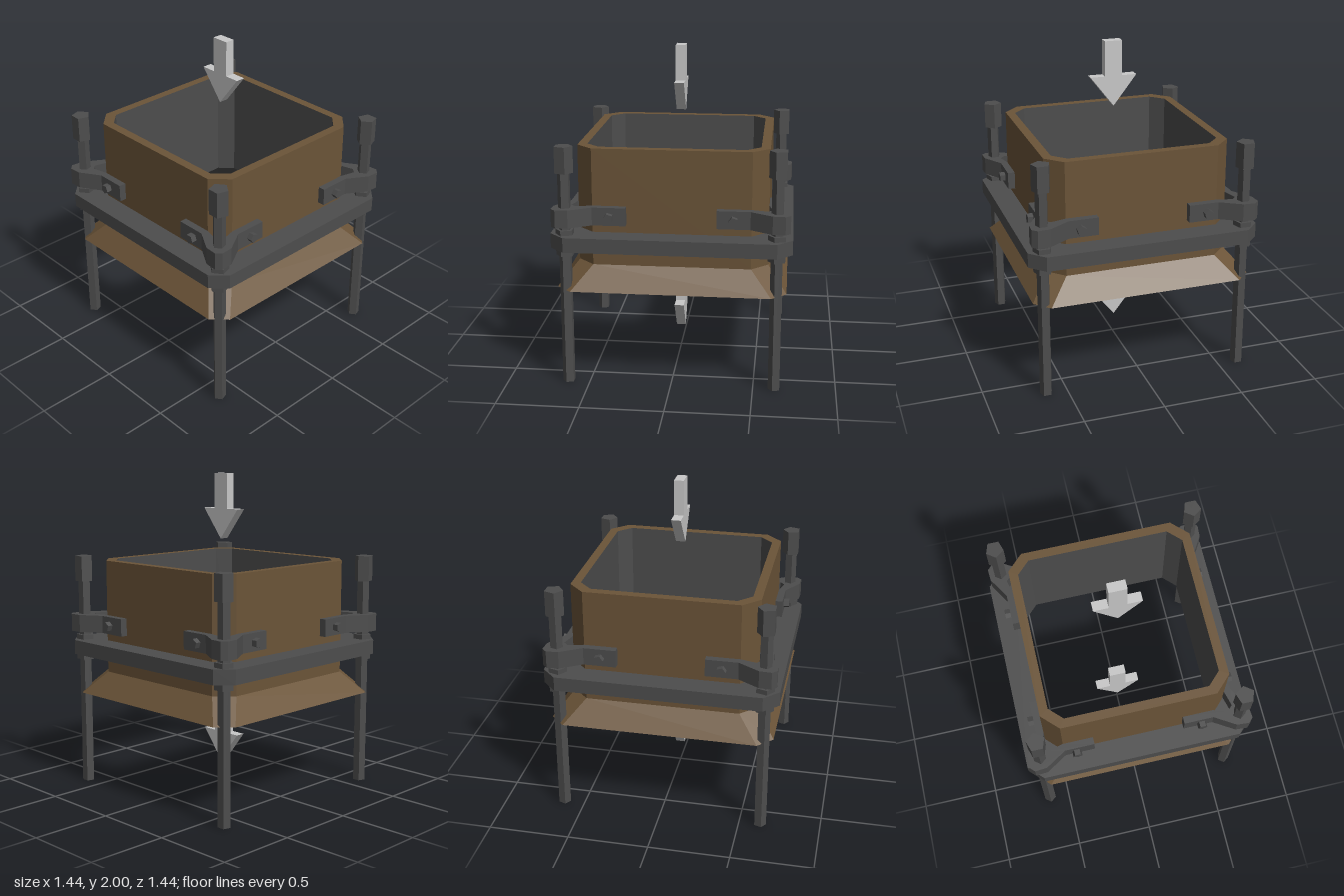
import * as THREE from 'three';

const mat = (name, color) => {
  const m = new THREE.MeshStandardMaterial({ color, flatShading: true });
  m.name = name;
  return m;
};

// Chamfered square: half width h, chamfer starting at c
const octagon = (h, c, y) =>
  [[h, -c], [h, c], [c, h], [-c, h], [-h, c], [-h, -c], [-c, -h], [c, -h]].map(([x, z]) => [x, y, z]);

// Skin joining a series of octagonal cross-sections
function skin(sections) {
  const rings = sections.map((s) => octagon(...s));
  const pos = [];
  for (let i = 0; i < rings.length - 1; i++) {
    for (let j = 0; j < 8; j++) {
      const k = (j + 1) % 8;
      const a = rings[i][j], b = rings[i + 1][j], c = rings[i][k], d = rings[i + 1][k];
      pos.push(...a, ...c, ...b, ...c, ...d, ...b);
    }
  }
  const g = new THREE.BufferGeometry();
  g.setAttribute('position', new THREE.Float32BufferAttribute(pos, 3));
  g.computeVertexNormals();
  return g;
}

export function createModel() {
  const group = new THREE.Group();
  const brown = mat('brown', 0x6b5438);
  const dark = mat('dark grey', 0x4d4d4d);
  const light = mat('light grey', 0xc8c8c8);

  const add = (name, geo, material, x = 0, y = 0, z = 0) => {
    const m = new THREE.Mesh(geo, material);
    m.name = name;
    m.position.set(x, y, z);
    group.add(m);
    return m;
  };

  // Square sleeve with a flared skirt, and its grey lining
  add('sleeve', skin([[0.52, 0.44, 1.455], [0.575, 0.475, 1.455], [0.575, 0.475, 0.74],
    [0.69, 0.6, 0.6], [0.64, 0.555, 0.6]]), brown);
  add('lining', skin([[0.64, 0.555, 0.6], [0.52, 0.44, 0.74], [0.52, 0.44, 1.455]]), dark);

  // Clamping frame around the sleeve
  add('frame', skin([[0.57, 0.47, 0.945], [0.72, 0.63, 0.945], [0.72, 0.63, 0.855],
    [0.57, 0.47, 0.855], [0.57, 0.47, 0.945]]), dark);

  // Five-sided rod, nut or cap standing between two heights
  const prism = (name, r, y0, y1, x, z, turn) => {
    const m = add(name, new THREE.CylinderGeometry(r, r, y1 - y0, 5), dark, x, (y0 + y1) / 2, z);
    m.rotation.y = turn;
  };

  // Bracket outline for the +x +z corner
  const outline = [[0.285, 0.575], [0.475, 0.575], [0.57, 0.6], [0.6, 0.57], [0.575, 0.475],
    [0.575, 0.27], [0.62, 0.27], [0.62, 0.47], [0.7, 0.6], [0.705, 0.675], [0.675, 0.705],
    [0.6, 0.7], [0.47, 0.62], [0.285, 0.62]];

  for (const sx of [-1, 1]) {
    for (const sz of [-1, 1]) {
      const x = 0.63 * sx, z = 0.63 * sz;
      const inward = sz > 0 ? Math.PI : 0;
      prism('rod', 0.039, 0, 1.33, x, z, 0);
      prism('rodCap', 0.058, 1.32, 1.48, x, z, inward);
      prism('upperNut', 0.058, 0.945, 0.975, x, z, 0);
      prism('lowerNut', 0.058, 0.815, 0.855, x, z, 0);

      // Corner bracket bolted to two walls
      const shape = new THREE.Shape(outline.map(([px, pz]) => new THREE.Vector2(px * sx, pz * sz)));
      const bracket = new THREE.ExtrudeGeometry(shape, { depth: 0.11, bevelEnabled: false });
      add('bracket', bracket.rotateX(Math.PI / 2), dark, 0, 1.108, 0);

      const bolt = () => new THREE.CylinderGeometry(0.03, 0.03, 0.05, 5);
      add('bolt', bolt().rotateX(sz * Math.PI / 2), dark, 0.398 * sx, 1.05, 0.63 * sz);
      add('bolt', bolt().rotateZ(-sx * Math.PI / 2), dark, 0.63 * sx, 1.05, 0.37 * sz);
    }
  }

  // Downward arrows above and below the sleeve
  const arrow = new THREE.Shape([[-0.055, 0.41], [-0.055, 0.19], [-0.148, 0.19], [0, 0],
    [0.148, 0.19], [0.055, 0.19], [0.055, 0.41]].map((p) => new THREE.Vector2(...p)));
  for (const [name, y] of [['upperArrow', 1.59], ['lowerArrow', 0.14]]) {
    add(name, new THREE.ExtrudeGeometry(arrow, { depth: 0.06, bevelEnabled: false }), light, 0, y, -0.03);
  }
  return group;
}
